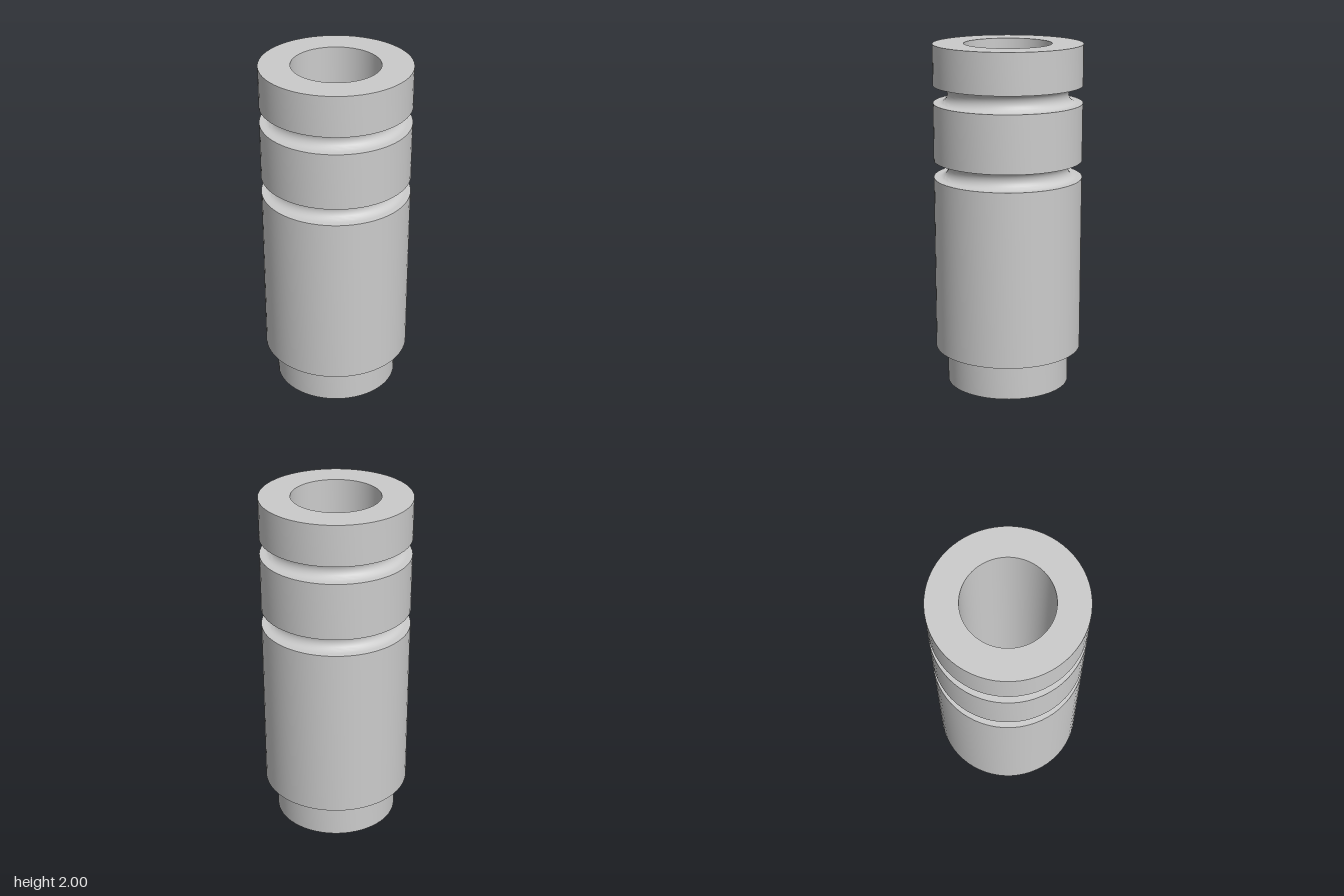
import * as THREE from 'three';
import { toCreasedNormals } from 'three/addons/utils/BufferGeometryUtils.js';

const SEGMENTS = 64;
const BORE = 0.25, BODY = 0.427, SPIGOT = 0.357;
const SHOULDER_Y = 0.215, TOP_Y = 2;
const GROOVES = [1.286, 1.716]; // centre heights
const GROOVE_R = 0.05, GROOVE_AXIS = 0.396;

// Straight-walled groove with a half-round bottom, listed upwards
function grooveProfile(y) {
  const pts = [[BODY, y - GROOVE_R]];
  const steps = 14;
  for (let i = 0; i <= steps; i++) {
    const a = -Math.PI / 2 + (Math.PI * i) / steps;
    pts.push([GROOVE_AXIS - GROOVE_R * Math.cos(a), y + GROOVE_R * Math.sin(a)]);
  }
  pts.push([BODY, y + GROOVE_R]);
  return pts;
}

export function createModel() {
  const group = new THREE.Group();
  group.name = 'groovedSleeve';
  const material = new THREE.MeshStandardMaterial({ color: 0xcccccc });

  const addLathe = (name, profile) => {
    const points = profile.map(([r, y]) => new THREE.Vector2(r, y));
    const geometry = toCreasedNormals(new THREE.LatheGeometry(points, SEGMENTS), Math.PI / 6);
    const mesh = new THREE.Mesh(geometry, material);
    mesh.name = name;
    group.add(mesh);
  };

  // Narrow spigot with its bottom rim
  addLathe('spigot', [[BORE, 0], [SPIGOT, 0], [SPIGOT, SHOULDER_Y]]);

  // Shoulder, grooved wall and top rim
  addLathe('groovedBody', [
    [SPIGOT, SHOULDER_Y],
    [BODY, SHOULDER_Y],
    ...GROOVES.flatMap(grooveProfile),
    [BODY, TOP_Y],
    [BORE, TOP_Y],
  ]);

  // Through hole, listed downwards so it faces the axis
  addLathe('bore', [[BORE, TOP_Y], [BORE, 0]]);

  return group;
}
